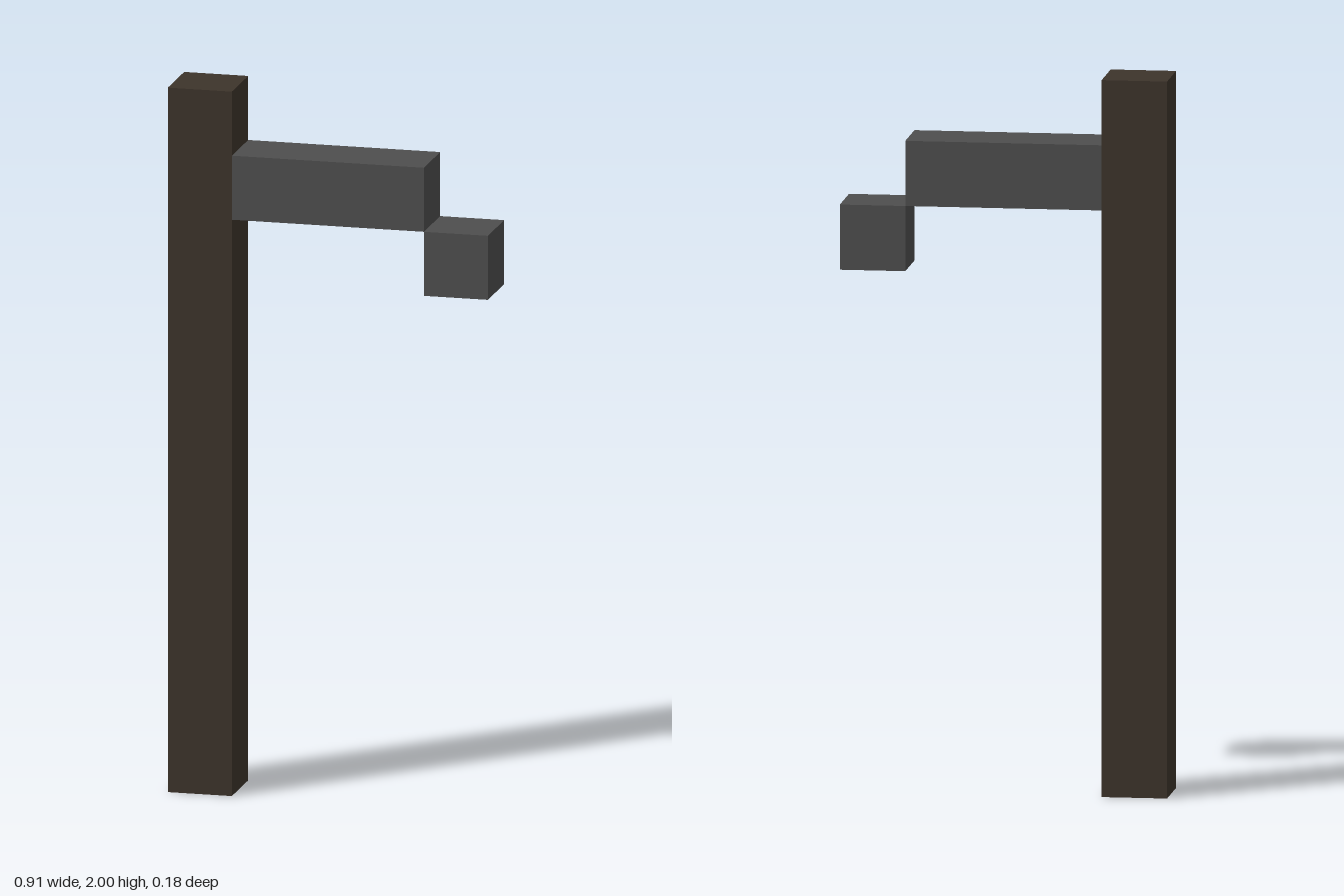
import * as THREE from 'three';

// Everything sits on a cubic grid, eleven units tall
const U = 2 / 11;

export function createModel() {
  const model = new THREE.Group();
  model.name = 'hangingPost';

  const wood = new THREE.MeshStandardMaterial({ color: 0x3d342b });
  wood.name = 'darkWood';
  const iron = new THREE.MeshStandardMaterial({ color: 0x4e4e4e });
  iron.name = 'darkGrey';

  // Block one unit deep, placed by its left edge and bottom in grid units
  function block(name, material, x, y, width, height) {
    const mesh = new THREE.Mesh(new THREE.BoxGeometry(width * U, height * U, U), material);
    mesh.name = name;
    mesh.position.set((x + width / 2) * U, (y + height / 2) * U, 0);
    model.add(mesh);
  }

  block('post', wood, -2.5, 0, 1, 11);
  block('arm', iron, -1.5, 9, 3, 1);
  block('armTip', iron, 1.5, 8, 1, 1);

  return model;
}
